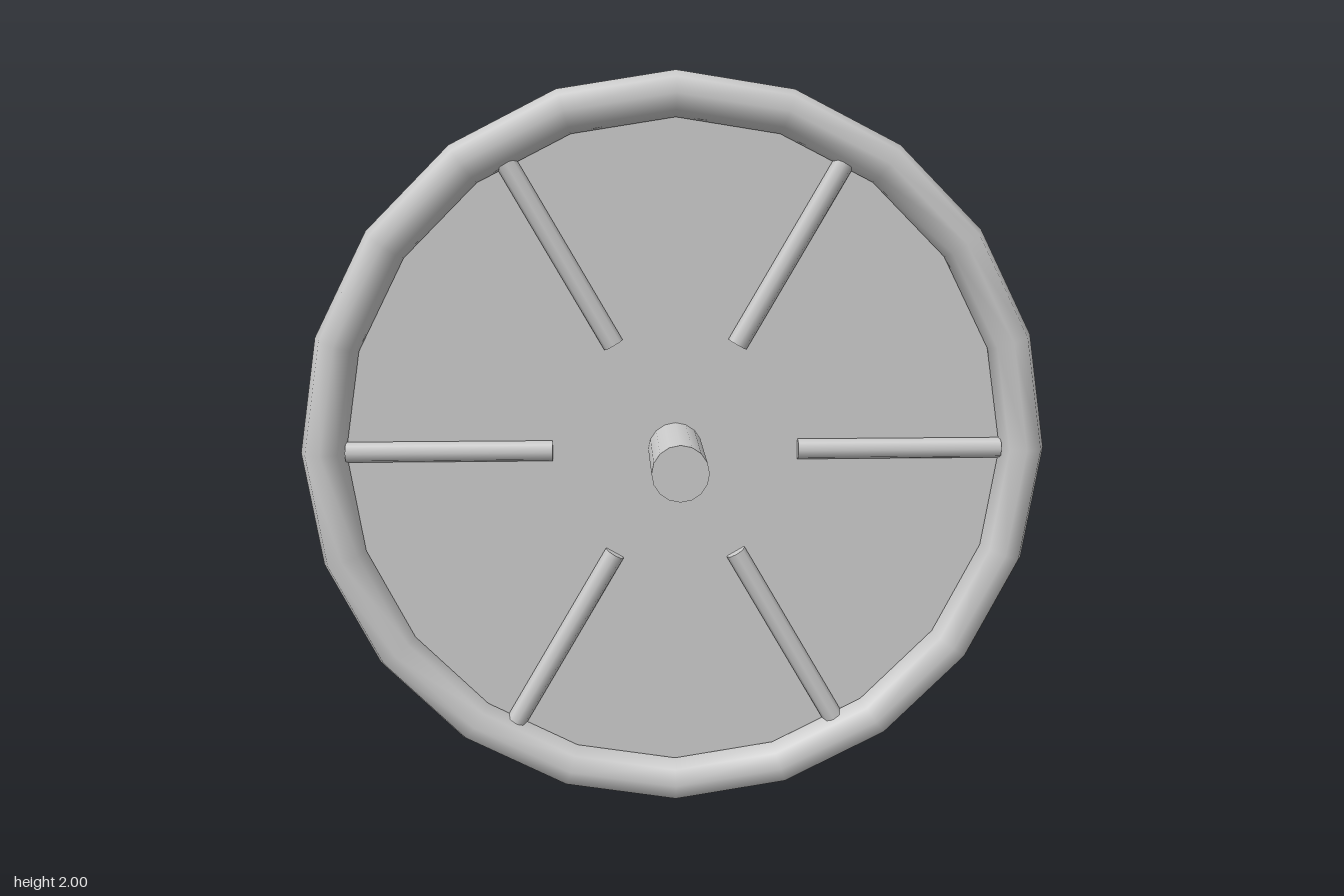
import * as THREE from 'three';

export function createModel() {
  const model = new THREE.Group();
  model.name = 'cableReel';
  const grey = new THREE.MeshStandardMaterial({ color: 0xcccccc });

  const add = (parent, name, geometry) => {
    const mesh = new THREE.Mesh(geometry, grey);
    mesh.name = name;
    parent.add(mesh);
    return mesh;
  };
  // Cylinder lying along z
  const zCylinder = (radius, length, sides) =>
    new THREE.CylinderGeometry(radius, radius, length, sides).rotateX(Math.PI / 2);

  // Everything turns around the axle, one unit above the ground
  const reel = new THREE.Group();
  reel.name = 'reel';
  reel.position.y = 1;
  model.add(reel);

  add(reel, 'axle', zCylinder(0.073, 1.64, 16));
  add(reel, 'drum', zCylinder(0.58, 0.7, 16));

  // Seven turns of cable side by side on the drum
  const turn = new THREE.TorusGeometry(0.59, 0.07, 8, 16);
  for (let i = -3; i <= 3; i++) add(reel, 'cableTurn', turn).position.z = i * 0.1;

  // Flange: disc, round rim and six ribs, facing +z
  const makeFlange = (name) => {
    const flange = new THREE.Group();
    flange.name = name;
    add(flange, 'disc', zCylinder(0.985, 0.12, 24)).position.z = 0.453;
    add(flange, 'rim', new THREE.TorusGeometry(0.94, 0.06, 8, 20)).position.z = 0.52;
    const rib = new THREE.CylinderGeometry(0.028, 0.028, 0.55, 8).rotateZ(Math.PI / 2);
    rib.translate(0.605, 0, 0.52);
    for (let i = 0; i < 6; i++) add(flange, 'rib', rib).rotation.z = (i * Math.PI) / 3;
    reel.add(flange);
    return flange;
  };
  makeFlange('frontFlange');
  makeFlange('backFlange').rotation.y = Math.PI;

  return model;
}
